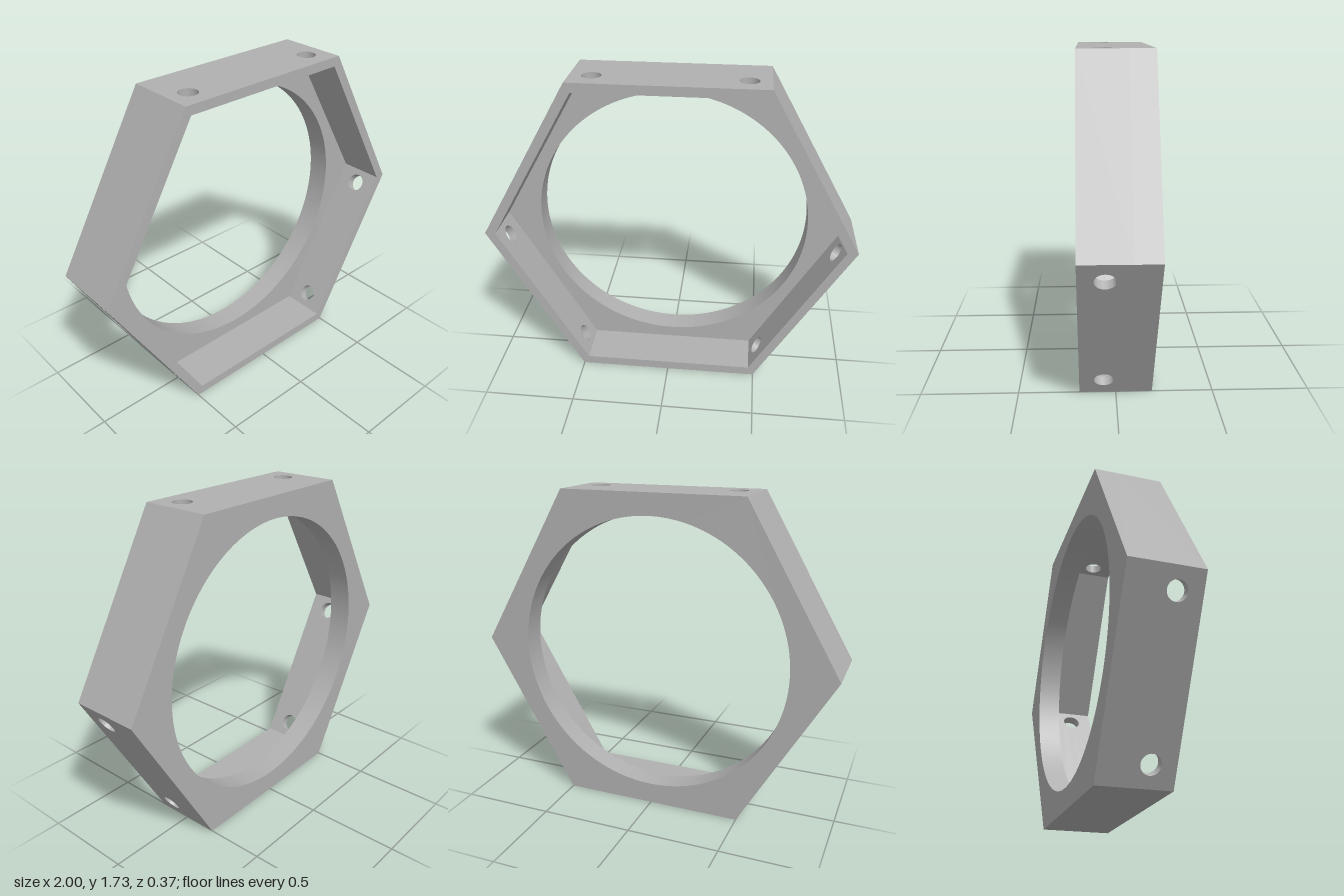
import * as THREE from 'three';
import { toCreasedNormals } from 'three/addons/utils/BufferGeometryUtils.js';

const APOTHEM = Math.sqrt(3) / 2; // outer hexagon, corner radius 1
const WALL = 0.05;                // wall thickness
const HALF_DEPTH = 0.187;
const FLOOR_Z = -0.06;            // front of the back plate
const BORE = 0.75;
const HOLE_X = 0.388, HOLE_Z = 0.062, HOLE_R = 0.05;

function addHole(shape, x, y, r) {
  shape.holes.push(new THREE.Path().absarc(x, y, r, 0, Math.PI * 2, true));
}

// Hexagonal back plate with a round bore
function plateGeometry() {
  const points = [];
  for (let i = 0; i < 6; i++) {
    const a = (i * Math.PI) / 3;
    points.push(new THREE.Vector2(Math.cos(a), Math.sin(a)));
  }
  const shape = new THREE.Shape(points);
  addHole(shape, 0, 0, BORE);
  const geometry = new THREE.ExtrudeGeometry(shape, {
    depth: FLOOR_Z + HALF_DEPTH, bevelEnabled: false, curveSegments: 96,
  });
  geometry.translate(0, 0, -HALF_DEPTH);
  return toCreasedNormals(geometry, 0.5);
}

// One side wall at the top, with mitred ends and optional pin holes
function wallGeometry(drilled) {
  const shape = new THREE.Shape([
    new THREE.Vector2(-0.5, -HALF_DEPTH), new THREE.Vector2(0.5, -HALF_DEPTH),
    new THREE.Vector2(0.5, -FLOOR_Z), new THREE.Vector2(-0.5, -FLOOR_Z),
  ]);
  if (drilled) for (const s of [-1, 1]) addHole(shape, s * HOLE_X, -HOLE_Z, HOLE_R);
  const geometry = new THREE.ExtrudeGeometry(shape, {
    depth: WALL, bevelEnabled: false, curveSegments: 32,
  });
  geometry.translate(0, 0, APOTHEM - WALL);

  // Pull the ends onto the corner planes of the hexagon
  const p = geometry.attributes.position;
  for (let i = 0; i < p.count; i++) {
    if (Math.abs(p.getX(i)) > 0.49) p.setX(i, Math.sign(p.getX(i)) * p.getZ(i) / Math.sqrt(3));
  }
  geometry.rotateX(-Math.PI / 2);
  return toCreasedNormals(geometry, 0.5);
}

export function createModel() {
  const grey = new THREE.MeshStandardMaterial({ color: 0xb0b0b0 });
  grey.name = 'grey';

  const model = new THREE.Group();
  model.name = 'hexagonalFrame';

  const plate = new THREE.Mesh(plateGeometry(), grey);
  plate.name = 'backPlate';
  model.add(plate);

  // Every second wall is drilled, starting with the top one
  const drilled = wallGeometry(true), plain = wallGeometry(false);
  for (let i = 0; i < 6; i++) {
    const wall = new THREE.Mesh(i % 2 ? plain : drilled, grey);
    wall.name = i % 2 ? 'plainWall' : 'drilledWall';
    wall.rotation.z = (i * Math.PI) / 3;
    model.add(wall);
  }

  model.position.y = APOTHEM;
  const root = new THREE.Group();
  root.name = 'model';
  root.add(model);
  return root;
}
